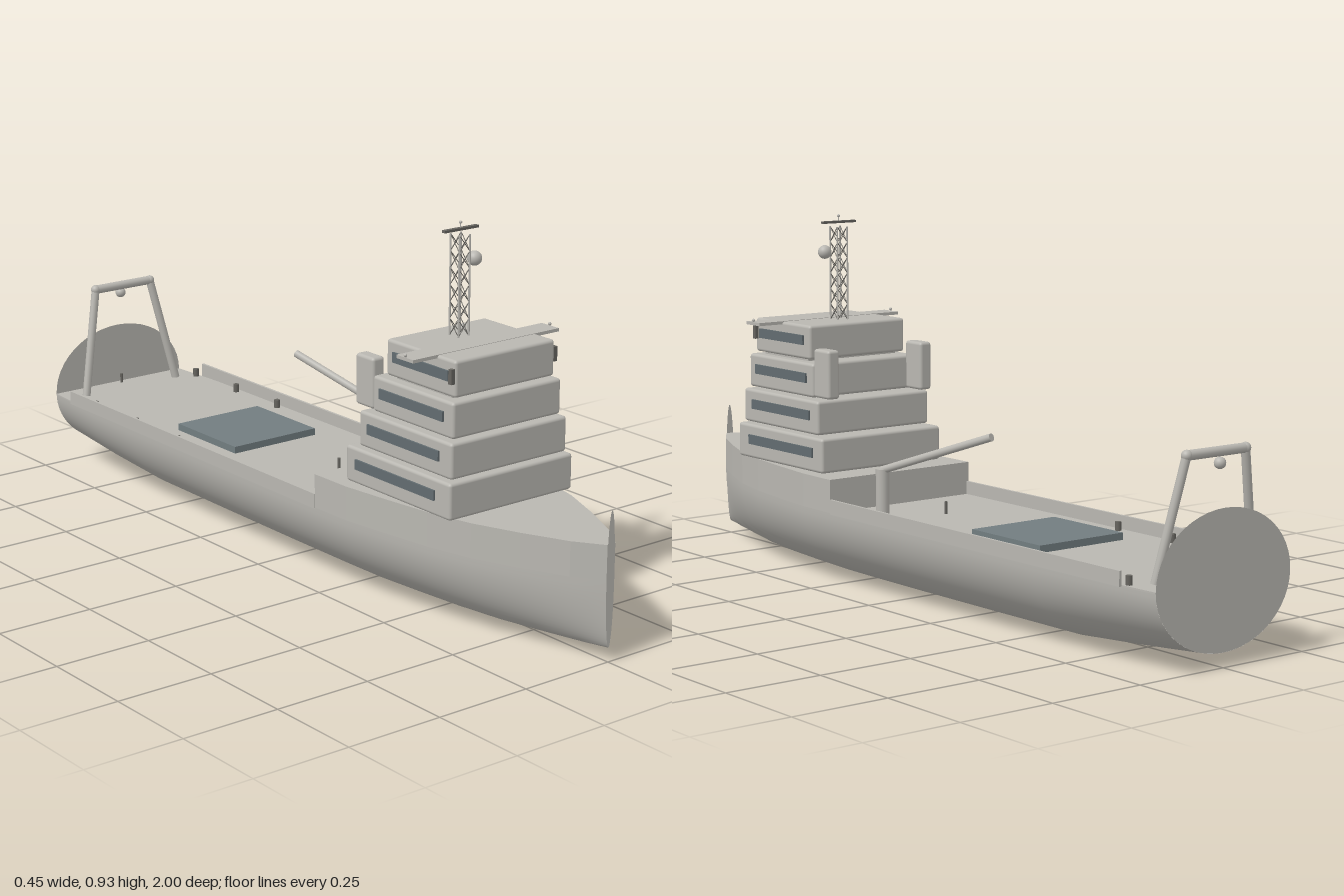
import * as THREE from 'three';
import { RoundedBoxGeometry } from 'three/addons/geometries/RoundedBoxGeometry.js';

const mat = (name, color, side = THREE.FrontSide) => {
  const m = new THREE.MeshStandardMaterial({ color, side });
  m.name = name;
  return m;
};

export function createModel() {
  const ship = new THREE.Group();
  ship.name = 'ship';
  const paint = mat('paleGreyPaint', 0xb9b7b1, THREE.DoubleSide);
  const glass = mat('darkGlass', 0x626c70);
  const hatchGrey = mat('hatchGrey', 0x727d80);
  const steel = mat('darkSteel', 0x66645f);

  const add = (name, geometry, material, x = 0, y = 0, z = 0, parent = ship) => {
    const m = new THREE.Mesh(geometry, material);
    m.name = name;
    m.position.set(x, y, z);
    parent.add(m);
    return m;
  };
  const box = (name, w, h, d, material, x, y, z, parent) =>
    add(name, new THREE.BoxGeometry(w, h, d), material, x, y, z, parent);
  const rod = (name, a, b, r, material, parent, sides = 12) => {
    const p = new THREE.Vector3(...a), q = new THREE.Vector3(...b);
    const m = add(name, new THREE.CylinderGeometry(r, r, p.distanceTo(q), sides), material, 0, 0, 0, parent);
    m.position.copy(p).lerp(q, 0.5);
    m.quaternion.setFromUnitVectors(new THREE.Vector3(0, 1, 0), q.sub(p).normalize());
    return m;
  };
  const ball = (name, r, material, x, y, z, parent) =>
    add(name, new THREE.SphereGeometry(r, 20, 14), material, x, y, z, parent);

  // Hull stations: z, half width, depth below the deck
  const DECK = 0.2;
  const stations = [
    [-1, 0.207, 0.165], [-0.8, 0.219, 0.183], [-0.6, 0.222, 0.199], [-0.3, 0.223, 0.2],
    [0, 0.224, 0.2], [0.2, 0.224, 0.199], [0.32, 0.222, 0.198], [0.45, 0.206, 0.196],
    [0.58, 0.187, 0.193], [0.7, 0.158, 0.189], [0.82, 0.111, 0.182], [0.93, 0.06, 0.173], [1, 0.012, 0.165],
  ];

  // Half-elliptical hull skin lofted through the stations
  const N = 40, pos = [], index = [];
  stations.forEach(([z, w, d], i) => {
    for (let j = 0; j <= N; j++) {
      const a = (j / N) * Math.PI;
      pos.push(w * Math.cos(a), DECK - d * Math.sin(a), z);
      if (i < stations.length - 1 && j < N) {
        const p = i * (N + 1) + j, q = p + N + 1;
        index.push(p, q, p + 1, q, q + 1, p + 1);
      }
    }
  });
  const skin = new THREE.BufferGeometry();
  skin.setAttribute('position', new THREE.Float32BufferAttribute(pos, 3));
  skin.setIndex(index);
  skin.computeVertexNormals();
  add('hull', skin, paint);

  // Elliptical end plates standing above the deck
  for (const [name, s, turn] of [['sternPlate', stations[0], Math.PI], ['bowPlate', stations.at(-1), 0]]) {
    const plate = add(name, new THREE.CircleGeometry(1, 48), paint, 0, DECK, s[0]);
    plate.scale.set(s[1], s[2], 1);
    plate.rotation.y = turn;
  }

  // Deck and raised foredeck follow the hull outline
  const slab = (name, list, y, h) => {
    const port = list.map(([z, w]) => new THREE.Vector2(w, -z));
    const starboard = list.map(([z, w]) => new THREE.Vector2(-w, -z)).reverse();
    const g = new THREE.ExtrudeGeometry(new THREE.Shape([...port, ...starboard]), { depth: h, bevelEnabled: false });
    add(name, g.rotateX(-Math.PI / 2), paint, 0, y, 0);
  };
  slab('mainDeck', stations.filter((s) => s[0] <= 0.2), DECK - 0.004, 0.004);
  slab('foredeck', stations.filter((s) => s[0] >= 0.2), DECK, 0.085);

  // Bulwarks and mooring bollards
  for (const s of [-1, 1]) {
    box('bulwark', 0.007, 0.036, 1.1, paint, s * 0.221, 0.216, -0.35);
    for (const z of s < 0 ? [-0.81, -0.615, -0.42] : [-0.905, -0.71, -0.52]) {
      add('bollard', new THREE.CylinderGeometry(0.008, 0.008, 0.022, 12), steel, s * 0.2, 0.211, z);
    }
  }
  rod('deckPost', [0, DECK, 0.01], [0, 0.232, 0.01], 0.004, steel);
  rod('sternPost', [0, DECK, -0.985], [0, 0.225, -0.985], 0.004, steel);

  // Stacked accommodation: half width, bottom, height, back z, front z, window back z
  const house = new THREE.Group();
  house.name = 'deckhouse';
  ship.add(house);
  const tiers = [
    [0.191, 0.285, 0.09, 0.28, 0.665, 0.32], [0.179, 0.379, 0.088, 0.315, 0.655, 0.35],
    [0.167, 0.472, 0.088, 0.352, 0.645, 0.38], [0.153, 0.566, 0.089, 0.385, 0.635, 0.412],
  ];
  for (const [w, y, h, z0, z1, wz] of tiers) {
    add('accommodationTier', new RoundedBoxGeometry(2 * w, h, z1 - z0, 3, 0.008), paint, 0, y + h / 2, (z0 + z1) / 2, house);
    for (const s of [-1, 1]) {
      box('sideWindow', 0.008, 0.025, 0.612 - wz, glass, s * (w + 0.001), y + h * 0.56, (0.612 + wz) / 2, house);
    }
  }
  box('deckhouseCore', 0.28, 0.34, 0.2, paint, 0, 0.465, 0.51, house);

  // Funnels, corner lamps and bridge wings
  for (const s of [-1, 1]) {
    add('funnel', new RoundedBoxGeometry(0.036, 0.126, 0.068, 3, 0.008), paint, s * 0.148, 0.537, 0.318, house);
    box('cornerLamp', 0.011, 0.036, 0.011, steel, s * 0.158, 0.618, 0.627, house);
    rod('wingPost', [s * 0.223, 0.648, 0.54], [s * 0.223, 0.66, 0.54], 0.002, paint, house, 8);
    ball('wingLight', 0.004, paint, s * 0.223, 0.661, 0.54, house);
  }
  box('bridgeWing', 0.45, 0.008, 0.06, paint, 0, 0.652, 0.54, house);

  // Lattice mast
  const mast = new THREE.Group();
  mast.name = 'latticeMast';
  mast.position.set(0, 0.655, 0.468);
  ship.add(mast);
  const R = 0.016, H = 0.245, BAYS = 6;
  const corners = [[R, R], [-R, R], [-R, -R], [R, -R]];
  corners.forEach(([x, z], i) => {
    const [x2, z2] = corners[(i + 1) % 4];
    rod('mastLeg', [x, 0, z], [x, H, z], 0.0025, paint, mast, 8);
    for (let b = 0; b < BAYS; b++) {
      const y0 = (b * H) / BAYS, y1 = y0 + H / BAYS;
      rod('mastBrace', [x, y0, z], [x2, y1, z2], 0.001, steel, mast, 5);
      rod('mastBrace', [x2, y0, z2], [x, y1, z], 0.001, steel, mast, 5);
    }
  });
  box('radarBar', 0.104, 0.006, 0.012, steel, 0, 0.257, 0, mast);
  rod('mastTip', [0, 0.257, 0], [0, 0.272, 0], 0.0015, paint, mast, 6);
  ball('mastLight', 0.004, paint, 0, 0.273, 0, mast);
  ball('radarDome', 0.018, paint, 0.045, 0.18, 0, mast);

  // Cargo hatch
  box('cargoHatch', 0.26, 0.018, 0.256, hatchGrey, 0, 0.209, -0.388);

  // Deck crane
  rod('cranePost', [0.158, DECK, 0.065], [0.158, 0.325, 0.065], 0.017, paint, ship, 20);
  rod('craneBoom', [0.158, 0.322, 0.065], [0.066, 0.436, -0.255], 0.01, paint);

  // Stern gantry
  for (const s of [-1, 1]) {
    rod('gantryLeg', [s * 0.15, DECK, -0.935], [s * 0.09, 0.487, -0.968], 0.011, paint);
    ball('gantryJoint', 0.013, paint, s * 0.09, 0.487, -0.968);
  }
  rod('gantryBeam', [-0.09, 0.487, -0.968], [0.09, 0.487, -0.968], 0.012, paint);
  ball('gantryBlock', 0.014, paint, 0, 0.463, -0.98);

  return ship;
}
